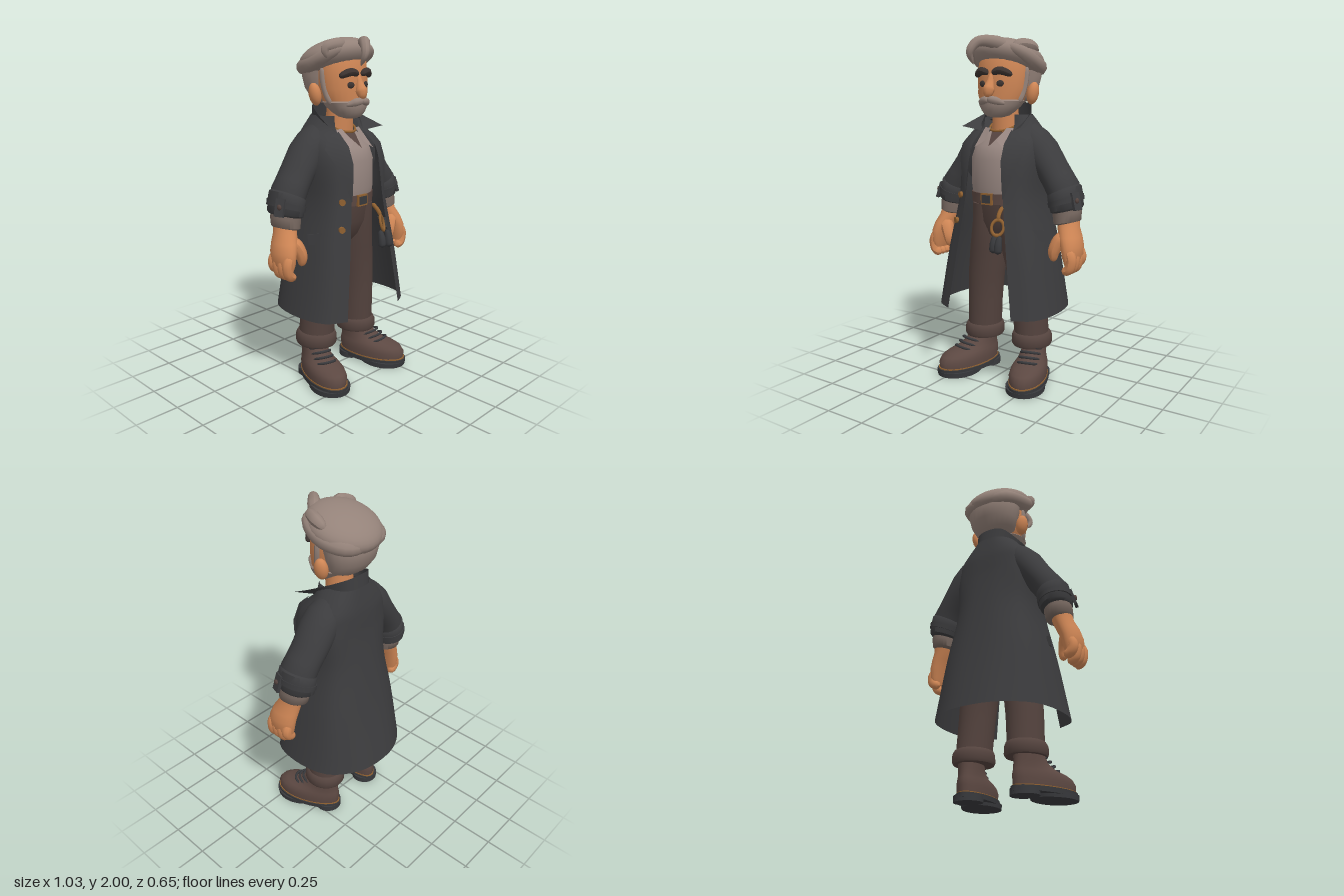
import * as THREE from 'three';
import { toCreasedNormals } from 'three/addons/utils/BufferGeometryUtils.js';

const paint = (name, color, side = THREE.FrontSide) => {
  const m = new THREE.MeshStandardMaterial({ color, side });
  m.name = name;
  return m;
};
const skin = paint('skin', 0xcf8655);
const hair = paint('hair', 0x948279);
const dark = paint('dark brown', 0x3d3431);
const cloth = paint('coat charcoal', 0x3c3c3e, THREE.DoubleSide);
const trouser = paint('trouser brown', 0x54433e, THREE.DoubleSide);
const leather = paint('boot leather', 0x5c4842);
const rubber = paint('sole black', 0x38393c);
const linen = paint('shirt linen', 0x978680, THREE.DoubleSide);
const rolled = paint('rolled cuff', 0x76675f);
const brass = paint('brass', 0x8f6030);

const V = (p) => new THREE.Vector3(...p);

function mesh(name, mat, geo, pos = [0, 0, 0], rot = [0, 0, 0], scale = [1, 1, 1]) {
  const m = new THREE.Mesh(geo, mat);
  m.name = name;
  m.position.set(...pos);
  m.rotation.set(...rot);
  m.scale.set(...scale);
  return m;
}

function gridGeometry(points, index) {
  const g = new THREE.BufferGeometry().setFromPoints(points);
  g.setIndex(index);
  g.computeVertexNormals();
  return g;
}

// Closed body through elliptical rings [x, y, z, rx, rz, tilt], listed bottom to top
function loft(name, mat, rings, warp, seg = 24) {
  const pts = [], idx = [], n = rings.length;
  for (const [x, y, z, rx, rz, tilt = 0] of rings) {
    for (let i = 0; i < seg; i++) {
      const a = (i / seg) * Math.PI * 2, c = Math.cos(a) * rx;
      const p = new THREE.Vector3(x + c * Math.cos(tilt), y + c * Math.sin(tilt), z + Math.sin(a) * rz);
      if (warp) warp(p);
      pts.push(p);
    }
  }
  for (let r = 0; r < n - 1; r++) {
    for (let i = 0; i < seg; i++) {
      const a = r * seg + i, b = r * seg + ((i + 1) % seg);
      idx.push(a, a + seg, b, b, a + seg, b + seg);
    }
  }
  pts.push(V(rings[0].slice(0, 3)), V(rings[n - 1].slice(0, 3)));
  for (let i = 0; i < seg; i++) {
    const j = (i + 1) % seg, t = (n - 1) * seg;
    idx.push(n * seg, i, j, n * seg + 1, t + j, t + i);
  }
  return mesh(name, mat, toCreasedNormals(gridGeometry(pts, idx), 0.9));
}

// Thin cloth from rows of points
function sheet(name, mat, rows) {
  const w = rows[0].length, idx = [];
  for (let r = 0; r < rows.length - 1; r++) {
    for (let i = 0; i < w - 1; i++) {
      const a = r * w + i;
      idx.push(a, a + 1, a + w, a + 1, a + w + 1, a + w);
    }
  }
  return mesh(name, mat, gridGeometry(rows.flat().map(V), idx));
}

// Round-ended strand along a curve, with radii spread evenly over its length
function strand(name, mat, points, radii, seg = 18, sides = 10) {
  const curve = new THREE.CatmullRomCurve3(points.map(V));
  const g = new THREE.TubeGeometry(curve, seg, 1, sides);
  const pos = g.attributes.position, v = new THREE.Vector3();
  for (let i = 0; i < pos.count; i++) {
    const u = Math.floor(i / (sides + 1)) / seg, c = curve.getPointAt(u);
    const f = u * (radii.length - 1), k = Math.min(Math.floor(f), radii.length - 2);
    const r = THREE.MathUtils.lerp(radii[k], radii[k + 1], f - k) * Math.sqrt(Math.max(0, 1 - Math.abs(2 * u - 1) ** 6));
    v.fromBufferAttribute(pos, i).sub(c).multiplyScalar(r).add(c);
    pos.setXYZ(i, v.x, v.y, v.z);
  }
  g.computeVertexNormals();
  return mesh(name, mat, g);
}

const smooth = (points, n) => new THREE.CatmullRomCurve3(points.map(V)).getPoints(n).map((p) => p.toArray());
const mirrorRow = (half) => [...half.map(([x, y, z]) => [-x, y, z]), ...half.slice(0, -1).reverse()];

function boot(s) {
  const g = new THREE.Group();
  g.name = s > 0 ? 'leftBoot' : 'rightBoot';
  const toeWide = (p) => { p.x *= 0.85 + 0.5 * p.z; };
  const foot = (name, mat, levels) => g.add(loft(name, mat,
    levels.map(([y, back, front, w]) => [0, y, (back + front) / 2, w, (front - back) / 2]), toeWide));
  foot('heel', rubber, [[0, -0.118, 0.04, 0.1], [0.035, -0.118, 0.04, 0.1]]);
  foot('forefootSole', rubber, [[0, 0.03, 0.33, 0.118], [0.03, 0.02, 0.335, 0.12]]);
  foot('sole', rubber, [[0.018, -0.122, 0.333, 0.118], [0.045, -0.122, 0.336, 0.12]]);
  foot('welt', brass, [[0.045, -0.115, 0.33, 0.114], [0.051, -0.115, 0.33, 0.114]]);
  foot('upper', leather, [[0.048, -0.108, 0.322, 0.11], [0.085, -0.112, 0.325, 0.113], [0.112, -0.112, 0.305, 0.108],
    [0.13, -0.108, 0.262, 0.1], [0.145, -0.105, 0.19, 0.09], [0.18, -0.1, 0.115, 0.084], [0.24, -0.1, 0.09, 0.084]]);
  for (let i = 0; i < 4; i++) {
    const y = 0.145 + i * 0.021, z = 0.19 - i * 0.03;
    g.add(strand('lace', rubber, [[-0.065, y - 0.01, z - 0.05], [-0.03, y + 0.012, z], [0.03, y + 0.012, z], [0.065, y - 0.01, z - 0.05]], [0.008, 0.008], 10, 6));
  }
  g.position.x = 0.19 * s;
  g.rotation.y = 0.27 * s;
  return g;
}

function leg(s) {
  const g = new THREE.Group();
  g.name = s > 0 ? 'leftTrouserLeg' : 'rightTrouserLeg';
  const ring = (y, x, z, rx, rz) => [x * s, y, z, rx, rz];
  g.add(loft('leg', trouser, [ring(0.26, 0.17, 0, 0.1, 0.11), ring(0.45, 0.16, 0.01, 0.105, 0.11),
    ring(0.62, 0.145, 0.015, 0.11, 0.118), ring(0.78, 0.115, 0.022, 0.115, 0.133), ring(0.95, 0.09, 0.03, 0.1, 0.15), ring(1.06, 0.08, 0.04, 0.1, 0.15)]));
  g.add(loft('turnUp', trouser, [ring(0.21, 0.172, 0, 0.112, 0.122), ring(0.225, 0.172, 0, 0.119, 0.13),
    ring(0.265, 0.172, 0, 0.117, 0.128), ring(0.285, 0.17, 0, 0.108, 0.118), ring(0.29, 0.17, 0, 0.098, 0.11)]));
  return g;
}

function arm(s) {
  const g = new THREE.Group();
  g.name = s > 0 ? 'leftArm' : 'rightArm';
  const R = (rings) => rings.map(([x, y, z, a, b, t = 0]) => [x * s, y, z, a, b, t * s]);
  const P = (pts) => pts.map(([x, y, z]) => [x * s, y, z]);
  g.add(loft('sleeve', cloth, R([[0.39, 1.08, -0.01, 0.085, 0.105, 0.3], [0.365, 1.16, -0.01, 0.093, 0.112, 0.42],
    [0.33, 1.21, -0.015, 0.09, 0.108, 0.5], [0.285, 1.27, -0.02, 0.09, 0.11, 0.52], [0.215, 1.365, -0.02, 0.1, 0.115, 0.6],
    [0.17, 1.42, -0.02, 0.09, 0.11, 0.8], [0.11, 1.48, -0.02, 0.07, 0.08, 0.9]])));
  g.add(loft('sleeveCuff', cloth, R([[0.4, 1.035, -0.008, 0.078, 0.1, 0.25], [0.395, 1.045, -0.008, 0.09, 0.116, 0.27],
    [0.383, 1.105, -0.008, 0.097, 0.121, 0.33], [0.374, 1.145, -0.01, 0.098, 0.116, 0.4], [0.37, 1.155, -0.01, 0.088, 0.106, 0.4]])));
  g.add(loft('cuffStrap', cloth, R([[0.39, 1.075, -0.008, 0.099, 0.125, 0.3], [0.384, 1.105, -0.008, 0.101, 0.126, 0.33]])));
  g.add(mesh('strapTab', cloth, new THREE.BoxGeometry(0.018, 0.1, 0.055), [0.477 * s, 1.1, 0.045], [0, -0.3 * s, 0.3 * s]));
  g.add(mesh('strapButton', trouser, new THREE.SphereGeometry(0.016, 12, 8), [0.486 * s, 1.105, 0.05], [0, 0, 0], [0.6, 1, 1]));
  g.add(loft('shirtCuff', rolled, R([[0.405, 0.965, 0.005, 0.062, 0.075, 0.15], [0.404, 0.975, 0.005, 0.076, 0.09, 0.18],
    [0.4, 1.02, 0, 0.08, 0.095, 0.2], [0.395, 1.06, 0, 0.075, 0.09, 0.25]])));
  // Hand with half-closed fingers
  g.add(loft('palm', skin, R([[0.462, 0.745, 0.048, 0.03, 0.075], [0.465, 0.785, 0.048, 0.048, 0.09], [0.457, 0.85, 0.044, 0.057, 0.092],
    [0.44, 0.9, 0.034, 0.062, 0.086], [0.42, 0.95, 0.018, 0.06, 0.073], [0.41, 1, 0.005, 0.062, 0.07]])));
  for (let i = 0; i < 4; i++) {
    const z = -0.012 + i * 0.04, d = i === 0 ? 0.025 : 0;
    g.add(strand('finger', skin, P([[0.465, 0.84, z], [0.485, 0.78, z], [0.47, 0.725 + d, z], [0.43, 0.708 + d, z]]), [0.029, 0.031, 0.03, 0.026]));
  }
  g.add(strand('thumb', skin, P([[0.435, 0.92, 0.05], [0.395, 0.87, 0.085], [0.372, 0.815, 0.1], [0.368, 0.755, 0.095]]), [0.036, 0.042, 0.034, 0.022]));
  return g;
}

function coat() {
  const g = new THREE.Group();
  g.name = 'coat';
  // Half outlines from the front edge round to the middle of the back
  const levels = [
    [0.44, [[0.22, 0.31], [0.33, 0.24], [0.372, 0.06], [0.325, -0.17], [0.17, -0.295], [0, -0.325]]],
    [0.8, [[0.17, 0.28], [0.27, 0.22], [0.305, 0.04], [0.27, -0.15], [0.15, -0.23], [0, -0.25]]],
    [1.1, [[0.13, 0.25], [0.215, 0.19], [0.245, 0.03], [0.22, -0.12], [0.12, -0.185], [0, -0.2]]],
    [1.3, [[0.11, 0.235], [0.21, 0.17], [0.25, 0.02], [0.22, -0.12], [0.12, -0.165], [0, -0.175]]],
    [1.38, [[0.11, 0.218], [0.2, 0.15], [0.245, 0.02], [0.215, -0.115], [0.12, -0.16], [0, -0.17]]],
    [1.44, [[0.11, 0.16], [0.18, 0.115], [0.235, 0.02], [0.205, -0.11], [0.12, -0.155], [0, -0.165]]],
    [1.5, [[0.105, 0.1], [0.15, 0.075], [0.19, 0.005], [0.17, -0.1], [0.1, -0.145], [0, -0.155]]],
    [1.57, [[0.1, 0.085], [0.12, 0.06], [0.135, 0], [0.12, -0.08], [0.07, -0.13], [0, -0.14]]],
  ];
  const rows = levels.map(([y, half]) => smooth(mirrorRow(half.map(([x, z]) => [x, y, z])), 40));
  const columns = rows[0].map((_, i) => smooth(rows.map((r) => r[i]), 28));
  g.add(sheet('coatBody', cloth, columns));
  // Standing collar with spread points
  const low = [[0.1, 1.475, 0.11], [0.125, 1.51, 0.07], [0.13, 1.54, -0.02], [0.08, 1.55, -0.12], [0, 1.55, -0.142]];
  const high = [[0.2, 1.503, 0.18], [0.178, 1.54, 0.09], [0.145, 1.585, -0.01], [0.085, 1.632, -0.11], [0, 1.64, -0.128]];
  g.add(sheet('collar', cloth, [low, high].map((h) => smooth(mirrorRow(h), 32))));
  for (const s of [1, -1]) {
    const P = (pts) => pts.map(([x, y, z]) => [x * s, y, z]);
    g.add(sheet('lapel', cloth, [
      P([[0.1, 1.485, 0.118], [0.14, 1.475, 0.125], [0.185, 1.455, 0.12]]),
      P([[0.107, 1.41, 0.205], [0.165, 1.415, 0.185], [0.23, 1.4, 0.14]]),
      P([[0.108, 1.32, 0.24], [0.155, 1.32, 0.23], [0.203, 1.32, 0.196]]),
      P([[0.118, 1.22, 0.25], [0.145, 1.22, 0.243], [0.17, 1.22, 0.23]]),
      P([[0.128, 1.11, 0.254], [0.131, 1.11, 0.254], [0.135, 1.11, 0.252]])]));
    g.add(mesh('pocketFlap', cloth, new THREE.BoxGeometry(0.12, 0.06, 0.02), [0.268 * s, 0.9, 0.125], [-0.2, 1.15 * s, 0]));
  }
  for (const [x, y, z] of [[-0.18, 1.11, 0.225], [-0.2, 0.96, 0.243]]) {
    g.add(mesh('button', brass, new THREE.CylinderGeometry(0.018, 0.018, 0.02, 16), [x, y, z], [Math.PI / 2, 0, 0.5]));
  }
  return g;
}

function head() {
  const g = new THREE.Group();
  g.name = 'head';
  g.add(loft('neck', skin, [[0, 1.38, 0.02, 0.08, 0.08], [0, 1.46, 0.02, 0.085, 0.082], [0, 1.52, 0.025, 0.078, 0.08], [0, 1.62, 0.03, 0.075, 0.078]]));
  g.add(loft('face', skin, [[0, 1.565, 0.1, 0.05, 0.05], [0, 1.6, 0.09, 0.1, 0.09], [0, 1.65, 0.065, 0.132, 0.115], [0, 1.72, 0.05, 0.15, 0.133],
    [0, 1.8, 0.045, 0.155, 0.133], [0, 1.88, 0.032, 0.15, 0.14], [0, 1.92, 0.022, 0.135, 0.13], [0, 1.95, 0, 0.1, 0.1]]));
  g.add(loft('beard', hair, [[0, 1.555, 0.11, 0.035, 0.035], [0, 1.565, 0.107, 0.07, 0.062], [0, 1.59, 0.095, 0.1, 0.09],
    [0, 1.62, 0.08, 0.123, 0.113], [0, 1.645, 0.07, 0.137, 0.123], [0, 1.655, 0.068, 0.13, 0.112]]));
  g.add(strand('nose', skin, [[0, 1.8, 0.165], [0, 1.74, 0.185], [0, 1.69, 0.2], [0, 1.665, 0.195]], [0.015, 0.02, 0.034, 0.025]));
  for (const s of [1, -1]) {
    const P = (pts) => pts.map(([x, y, z]) => [x * s, y, z]);
    g.add(mesh('ear', skin, new THREE.SphereGeometry(1, 16, 12), [0.168 * s, 1.69, 0.0], [0, 0.3 * s, -0.2 * s], [0.034, 0.064, 0.04]));
    g.add(mesh('eye', dark, new THREE.SphereGeometry(1, 16, 10), [0.06 * s, 1.742, 0.172], [0, 0.3 * s, 0], [0.022, 0.018, 0.009]));
    g.add(strand('eyebrow', dark, P([[0.012, 1.798, 0.183], [0.06, 1.812, 0.177], [0.122, 1.788, 0.142]]), [0.018, 0.023, 0.017]));
    g.add(strand('moustache', hair, P([[-0.005, 1.655, 0.205], [0.035, 1.65, 0.195], [0.085, 1.63, 0.16]]), [0.02, 0.022, 0.01]));
    g.add(strand('sideburn', hair, P([[0.118, 1.63, 0.085], [0.136, 1.69, 0.06], [0.147, 1.76, 0.045], [0.15, 1.84, 0.04]]), [0.022, 0.018, 0.018, 0.018]));
    g.add(strand('sideLock', hair, P([[0.075, 1.95, 0.15], [0.145, 1.92, 0.11], [0.17, 1.865, 0], [0.13, 1.835, -0.13], [0, 1.825, -0.175]]), [0.03, 0.04, 0.046, 0.044, 0.042]));
  }
  g.add(loft('napeHair', hair, [[0, 1.635, -0.03, 0.08, 0.06], [0, 1.665, -0.045, 0.13, 0.09], [0, 1.72, -0.06, 0.156, 0.115],
    [0, 1.79, -0.062, 0.173, 0.13], [0, 1.88, -0.05, 0.175, 0.13]]));
  g.add(mesh('topHair', hair, new THREE.SphereGeometry(1, 32, 20), [0, 1.884, -0.008], [-0.31, 0, 0], [0.207, 0.1, 0.213]));
  g.add(strand('frontCurl', hair, [[0.1, 1.93, 0.11], [0.03, 1.965, 0.18], [-0.035, 1.965, 0.25], [-0.065, 1.91, 0.282], [-0.065, 1.845, 0.25]],
    [0.03, 0.038, 0.03, 0.024, 0.01], 24));
  g.add(strand('leftCurl', hair, [[0.17, 1.92, -0.04], [0.165, 1.95, 0.03], [0.13, 1.95, 0.11], [0.11, 1.91, 0.15]], [0.025, 0.035, 0.032, 0.012]));
  g.add(strand('rightCurl', hair, [[-0.05, 1.955, 0.12], [-0.13, 1.955, 0.12], [-0.18, 1.935, 0.1], [-0.18, 1.885, 0.11]], [0.03, 0.038, 0.03, 0.014]));
  return g;
}

function outfit() {
  const g = new THREE.Group();
  g.name = 'shirtAndBelt';
  g.add(loft('hips', trouser, [[0, 0.8, 0.02, 0.09, 0.06], [0, 0.88, 0.025, 0.17, 0.12], [0, 0.96, 0.03, 0.19, 0.15], [0, 1.08, 0.04, 0.19, 0.16]]));
  g.add(loft('belt', leather, [[0, 1.065, 0.04, 0.198, 0.17], [0, 1.125, 0.04, 0.2, 0.174]]));
  g.add(mesh('buckle', brass, new THREE.BoxGeometry(0.075, 0.065, 0.016), [-0.005, 1.095, 0.212]));
  g.add(mesh('buckleCentre', rubber, new THREE.BoxGeometry(0.056, 0.046, 0.008), [-0.005, 1.095, 0.22]));
  g.add(loft('shirt', linen, [[0, 1.1, 0.04, 0.19, 0.162], [0, 1.16, 0.04, 0.197, 0.174], [0, 1.32, 0.04, 0.2, 0.17],
    [0, 1.395, 0.03, 0.175, 0.163], [0, 1.47, 0.015, 0.13, 0.08]]));
  g.add(sheet('undershirt', trouser, [[[-0.04, 1.472, 0.108], [0.04, 1.472, 0.108]], [[0, 1.392, 0.204], [0, 1.392, 0.204]]]));
  for (const s of [1, -1]) {
    g.add(sheet('shirtCollar', linen, [[[0.055 * s, 1.495, 0.1], [0.11 * s, 1.495, 0.075]], [[0.04 * s, 1.425, 0.178], [0.1 * s, 1.385, 0.2]]]));
  }
  g.add(mesh('necklace', brass, new THREE.TorusGeometry(0.086, 0.007, 8, 32), [0, 1.515, 0.03], [Math.PI / 2 + 0.4, 0, 0], [1, 1.14, 1]));
  // Key ring hanging from the belt
  g.add(strand('keyStrap', brass, [[0.095, 1.06, 0.2], [0.1, 1.02, 0.245], [0.105, 0.985, 0.262]], [0.012, 0.012], 8, 8));
  g.add(mesh('keyRing', brass, new THREE.TorusGeometry(0.034, 0.008, 8, 24), [0.107, 0.95, 0.27], [-0.3, 0.5, 0], [1, 1.3, 1]));
  for (const [x, z] of [[0.09, 0.285], [0.132, 0.3]]) {
    g.add(strand('key', rubber, [[x, 0.91, z - 0.015], [x, 0.86, z], [x, 0.805, z + 0.005]], [0.014, 0.022, 0.024], 10, 8));
  }
  return g;
}

export function createModel() {
  const model = new THREE.Group();
  model.name = 'manInLongCoat';
  for (const s of [1, -1]) model.add(boot(s), leg(s), arm(s));
  model.add(outfit(), coat(), head());
  return model;
}
